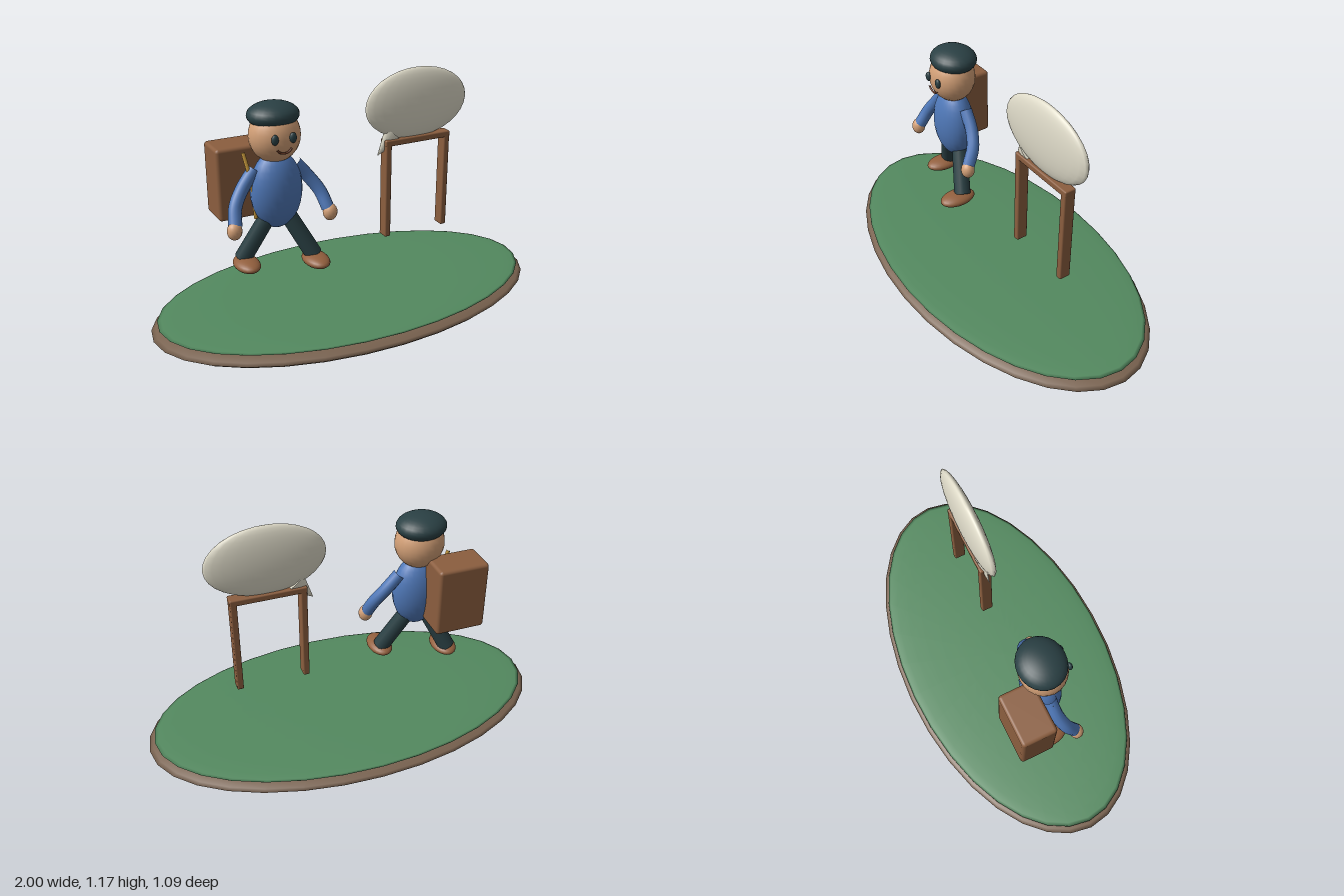
import * as THREE from 'three';
import { RoundedBoxGeometry } from 'three/addons/geometries/RoundedBoxGeometry.js';

const mat = (color) => new THREE.MeshStandardMaterial({ color });
const soil = mat(0x7a6350), grass = mat(0x53895f), wood = mat(0x8b5e3f), shirt = mat(0x4f78b8);
const dark = mat(0x2a4044), skin = mat(0xd3a077), shoe = mat(0x93603e), cream = mat(0xdedac8);
const yellow = mat(0xd0a040);

const V = (p) => new THREE.Vector3(...p);

function add(parent, name, geometry, material, pos = [0, 0, 0]) {
  const mesh = new THREE.Mesh(geometry, material);
  mesh.name = name;
  mesh.position.set(...pos);
  parent.add(mesh);
  return mesh;
}

// Sphere stretched to the given radii
function ellipsoid(parent, name, material, pos, radii, ws = 24, hs = 16) {
  const mesh = add(parent, name, new THREE.SphereGeometry(1, ws, hs), material, pos);
  mesh.scale.set(...radii);
  return mesh;
}

function roundedBox(parent, name, material, pos, size, r) {
  return add(parent, name, new RoundedBoxGeometry(...size, 2, r), material, pos);
}

function tube(parent, name, material, points, r) {
  const curve = new THREE.CatmullRomCurve3(points.map(V));
  return add(parent, name, new THREE.TubeGeometry(curve, 16, r, 12), material);
}

// Tapered cylinder between two points
function limb(parent, name, material, top, bottom, rTop, rBottom) {
  const a = V(top), b = V(bottom), d = a.clone().sub(b);
  const mid = a.clone().add(b).multiplyScalar(0.5);
  const geo = new THREE.CylinderGeometry(rTop, rBottom, d.length(), 16);
  const mesh = add(parent, name, geo, material, mid.toArray());
  mesh.quaternion.setFromUnitVectors(new THREE.Vector3(0, 1, 0), d.normalize());
  return mesh;
}

function createIsland() {
  const g = new THREE.Group();
  g.name = 'island';
  ellipsoid(g, 'soil', soil, [0, 0.06, 0], [1, 0.06, 0.545], 32, 16);
  ellipsoid(g, 'grass', grass, [0, 0.105, 0], [0.97, 0.018, 0.525], 32, 16);
  return g;
}

// Built around x = 0, then moved to its place
function createTraveller() {
  const g = new THREE.Group();
  g.name = 'traveller';
  g.position.x = -0.375;

  ellipsoid(g, 'torso', shirt, [0, 0.69, 0], [0.125, 0.187, 0.09]);
  ellipsoid(g, 'head', skin, [0, 0.95, 0], [0.12, 0.125, 0.11]);
  ellipsoid(g, 'cap', dark, [0, 1.042, -0.01], [0.121, 0.06, 0.11]);

  // Smile
  const smile = add(g, 'mouth', new THREE.TorusGeometry(0.04, 0.005, 8, 16, 2.1), skin.clone(), [0, 0.934, 0.108]);
  smile.material.color.set(0x6b3a26);
  smile.rotation.z = -Math.PI / 2 - 1.05;

  for (const [s, side] of [[1, 'left'], [-1, 'right']]) {
    ellipsoid(g, side + 'Eye', dark, [s * 0.043, 0.96, 0.107], [0.017, 0.024, 0.012], 16, 12);
    tube(g, side + 'Arm', shirt,
      [[s * 0.1, 0.8, -0.01], [s * 0.165, 0.72, 0], [s * 0.21, 0.65, 0.025], [s * 0.23, 0.575, 0.065]], 0.031);
    ellipsoid(g, side + 'Hand', skin, [s * 0.237, 0.557, 0.073], [0.035, 0.042, 0.033], 16, 12);
    // Striding legs: left foot forward, right foot back
    limb(g, side + 'Leg', dark, [s * 0.05, 0.56, 0], [s * 0.155, 0.352, s * 0.058], 0.04, 0.042);
    ellipsoid(g, side + 'Shoe', shoe, [s * 0.153, 0.336, 0.033 + s * 0.053], [0.06, 0.03, 0.095]);
  }

  // Pack carried behind the right shoulder
  roundedBox(g, 'backpack', wood, [-0.135, 0.725, -0.137], [0.25, 0.345, 0.168], 0.016);
  tube(g, 'strap', yellow, [[-0.148, 0.885, -0.015], [-0.128, 0.78, 0], [-0.112, 0.67, 0], [-0.1, 0.56, -0.015]], 0.009);
  return g;
}

// Blank speech bubble resting on a two-legged frame
function createSign() {
  const g = new THREE.Group();
  g.name = 'sign';
  g.position.x = 0.37;
  for (const s of [1, -1])
    roundedBox(g, s > 0 ? 'leftPost' : 'rightPost', wood, [s * 0.165, 0.58, 0], [0.032, 0.49, 0.058], 0.007);
  roundedBox(g, 'crossbar', wood, [0, 0.822, 0], [0.365, 0.032, 0.058], 0.007);
  ellipsoid(g, 'bubble', cream, [0, 1, 0], [0.283, 0.174, 0.042], 24, 16);

  // Flattened cone pointing down and outward
  const tail = limb(g, 'bubbleTail', cream, [-0.13, 0.86, 0], [-0.215, 0.762, 0], 0.055, 0.001);
  tail.scale.z = 0.45;
  return g;
}

export function createModel() {
  const model = new THREE.Group();
  model.name = 'travellerScene';
  model.add(createIsland(), createTraveller(), createSign());
  return model;
}
